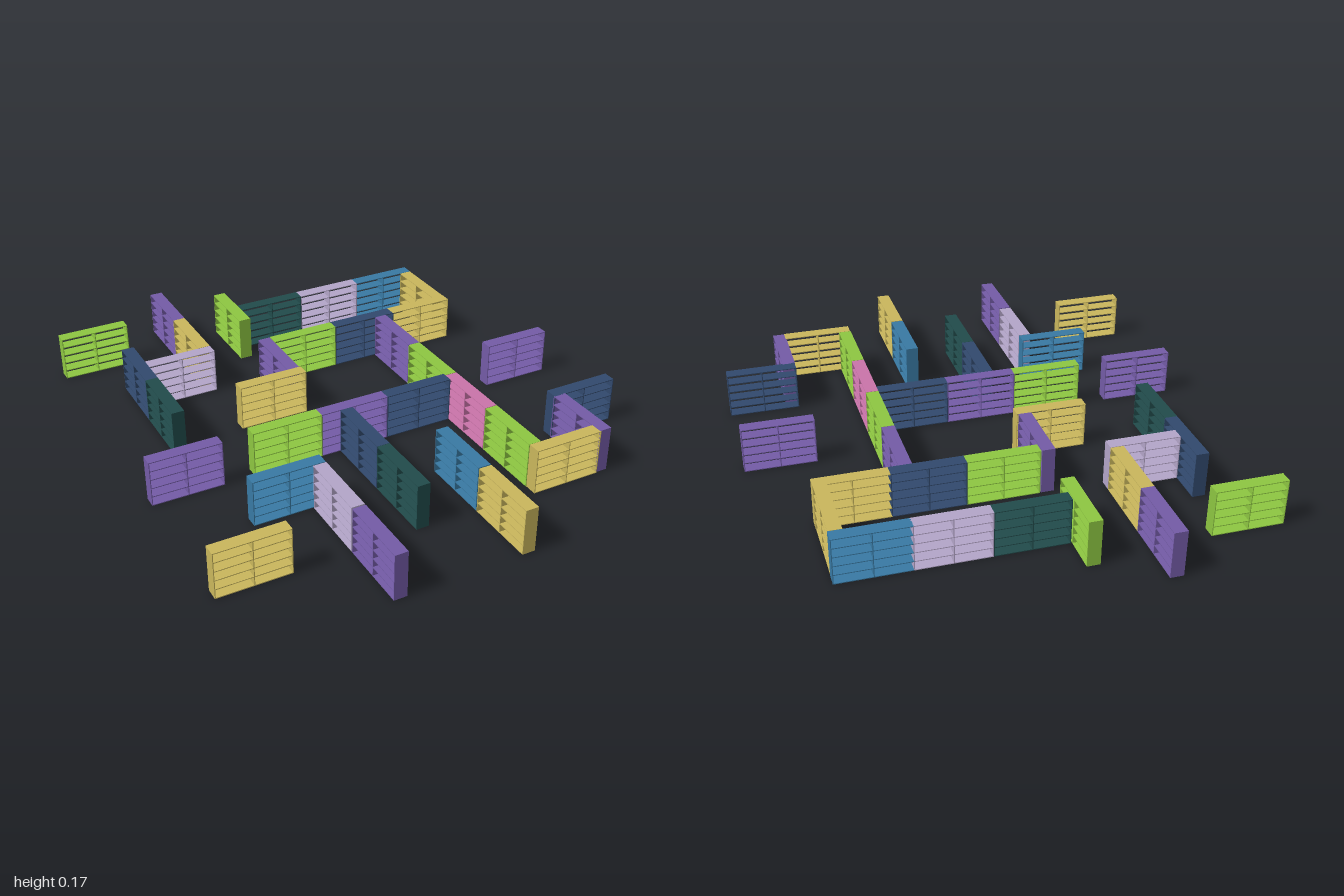
import * as THREE from 'three';
import { mergeGeometries } from 'three/addons/utils/BufferGeometryUtils.js';

const LENGTH = 0.266, HEIGHT = 0.172, DEPTH = 0.048, BOARD = 0.003;
const ROWS = 5, COLUMNS = 2;

const COLORS = {
  green: 0x8dc641, yellow: 0xc9b65c, purple: 0x735ba6, lilac: 0xb3a5c8,
  blue: 0x3879a3, navy: 0x31496d, darkTeal: 0x214b4b, pink: 0xc973a9,
};

// Shelves running along x: [centre x, centre z, colour]
const ALONG_X = [
  [-0.724, -0.805, 'green'], [0.006, -0.713, 'darkTeal'], [0.272, -0.713, 'lilac'],
  [0.535, -0.713, 'blue'], [-0.497, -0.443, 'lilac'], [0.006, -0.4, 'green'],
  [0.272, -0.4, 'navy'], [0.535, -0.4, 'yellow'], [-0.258, -0.132, 'yellow'],
  [0.72, 0.027, 'purple'], [-0.724, 0.17, 'purple'], [-0.345, 0.17, 'green'],
  [-0.08, 0.17, 'purple'], [0.187, 0.17, 'navy'], [-0.467, 0.435, 'blue'],
  [0.72, 0.452, 'navy'], [-0.724, 0.714, 'yellow'], [0.455, 0.718, 'yellow'],
];

// Shelves running along z
const ALONG_Z = [
  [-0.388, -0.867, 'purple'], [-0.388, -0.602, 'yellow'], [-0.155, -0.738, 'green'],
  [-0.653, -0.463, 'navy'], [-0.653, -0.197, 'darkTeal'], [0.643, -0.555, 'yellow'],
  [-0.155, -0.288, 'purple'], [0.344, -0.243, 'purple'], [0.344, 0.024, 'green'],
  [0.344, 0.292, 'pink'], [0.344, 0.56, 'green'], [-0.116, 0.328, 'navy'],
  [-0.116, 0.595, 'darkTeal'], [-0.358, 0.595, 'lilac'], [-0.358, 0.867, 'purple'],
  [0.115, 0.597, 'blue'], [0.115, 0.867, 'yellow'], [0.609, 0.605, 'purple'],
];

// Open shelf unit: thin horizontal boards and upright dividers, no back
function shelfGeometry() {
  const boards = [];
  for (let i = 0; i <= ROWS; i++) {
    const y = BOARD / 2 + (i / ROWS) * (HEIGHT - BOARD);
    boards.push(new THREE.BoxGeometry(LENGTH, BOARD, DEPTH).translate(0, y, 0));
  }
  for (let i = 0; i <= COLUMNS; i++) {
    const x = (i / COLUMNS - 0.5) * (LENGTH - BOARD);
    boards.push(new THREE.BoxGeometry(BOARD, HEIGHT, DEPTH).translate(x, HEIGHT / 2, 0));
  }
  return mergeGeometries(boards);
}

export function createModel() {
  const group = new THREE.Group();
  group.name = 'shelfLayout';
  const materials = {};
  for (const [name, color] of Object.entries(COLORS)) {
    materials[name] = new THREE.MeshStandardMaterial({ color });
    materials[name].name = name;
  }
  const geometry = shelfGeometry();

  const place = (list, angle) => list.forEach(([x, z, color], i) => {
    const shelf = new THREE.Mesh(geometry, materials[color]);
    shelf.name = `${color}Shelf${angle ? 'Lengthwise' : 'Crosswise'}${i + 1}`;
    shelf.position.set(x, 0, z);
    shelf.rotation.y = angle;
    group.add(shelf);
  });
  place(ALONG_X, 0);
  place(ALONG_Z, Math.PI / 2);
  return group;
}
